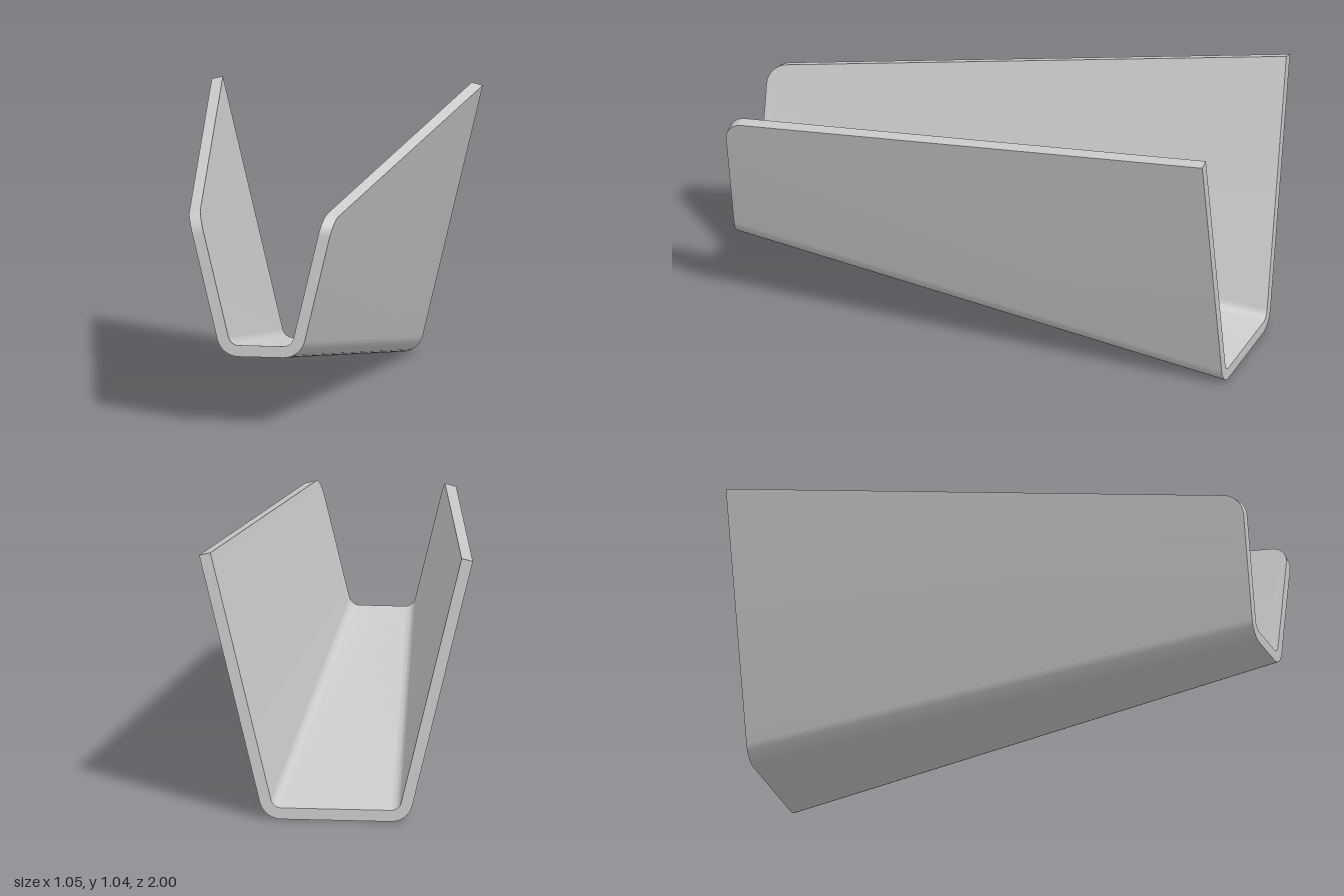
import * as THREE from 'three';
import { toCreasedNormals } from 'three/addons/utils/BufferGeometryUtils.js';

const THICK = 0.044, RADIUS = 0.085;      // sheet thickness, outer bend radius
const LEAN = Math.atan(0.239);            // outward lean of the side walls
const BEND = 8, RIM = 10;                 // segments of the bends and rounded rim corners
const RIM_R = 0.08, RIM_SLOPE = 0.118;

// Height of the straight sloping rim at depth z
const rimY = (z) => 1.043 - RIM_SLOPE * (z + 1);

// Closed U-shaped cross-section: outer run left to right, then inner run back
function section(z, rim) {
  const f = (z + 1) / 2;
  const cornerX = THREE.MathUtils.lerp(0.276, 0.153, f);
  const floorY = THREE.MathUtils.lerp(0, 0.266, f);
  const cx = cornerX - RADIUS * Math.tan((Math.PI / 2 - LEAN) / 2);
  const cy = floorY + RADIUS;
  const run = (r, topX, topY) => {
    const half = [];
    for (let i = 0; i <= BEND; i++) {
      const a = THREE.MathUtils.lerp(-Math.PI / 2, -LEAN, i / BEND);
      half.push([cx + r * Math.cos(a), cy + r * Math.sin(a)]);
    }
    half.push([topX, topY]);
    return [...half.map(([x, y]) => [-x, y]).reverse(), ...half];
  };
  const outY = rim - THICK * Math.sin(LEAN);
  const outX = cornerX + (outY - floorY) * Math.tan(LEAN);
  const outer = run(RADIUS, outX, outY);
  const inner = run(RADIUS - THICK, outX - THICK * Math.cos(LEAN), rim);
  return [...outer, ...inner.reverse()].map(([x, y]) => [x, y, z]);
}

function channelGeometry() {
  // Stations from the back to the front, following the rounded front rim corner
  const sections = [section(-1, rimY(-1))];
  const zc = 1 - RIM_R;
  const yc = rimY(zc) - RIM_R * Math.hypot(1, RIM_SLOPE);
  const start = Math.PI / 2 - Math.atan(RIM_SLOPE);
  for (let i = 0; i <= RIM; i++) {
    const a = start * (1 - i / RIM);
    sections.push(section(zc + RIM_R * Math.cos(a), yc + RIM_R * Math.sin(a)));
  }

  const pos = [];
  const quad = (a, b, c, d) => pos.push(...a, ...b, ...c, ...a, ...c, ...d);
  const n = sections[0].length;
  // Outer, inner and rim surfaces
  for (let s = 0; s < sections.length - 1; s++) {
    const p = sections[s], q = sections[s + 1];
    for (let i = 0; i < n; i++) {
      const j = (i + 1) % n;
      quad(p[i], p[j], q[j], q[i]);
    }
  }
  // Front and back end faces
  const back = sections[0], front = sections[sections.length - 1];
  for (let i = 0; i < n / 2 - 1; i++) {
    quad(front[i], front[i + 1], front[n - 2 - i], front[n - 1 - i]);
    quad(back[n - 1 - i], back[n - 2 - i], back[i + 1], back[i]);
  }
  const g = new THREE.BufferGeometry();
  g.setAttribute('position', new THREE.Float32BufferAttribute(pos, 3));
  return toCreasedNormals(g, 0.5);
}

export function createModel() {
  const group = new THREE.Group();
  group.name = 'taperedChute';
  const channel = new THREE.Mesh(channelGeometry(), new THREE.MeshStandardMaterial({ color: 0xcccccc }));
  channel.name = 'channel';
  group.add(channel);
  return group;
}
